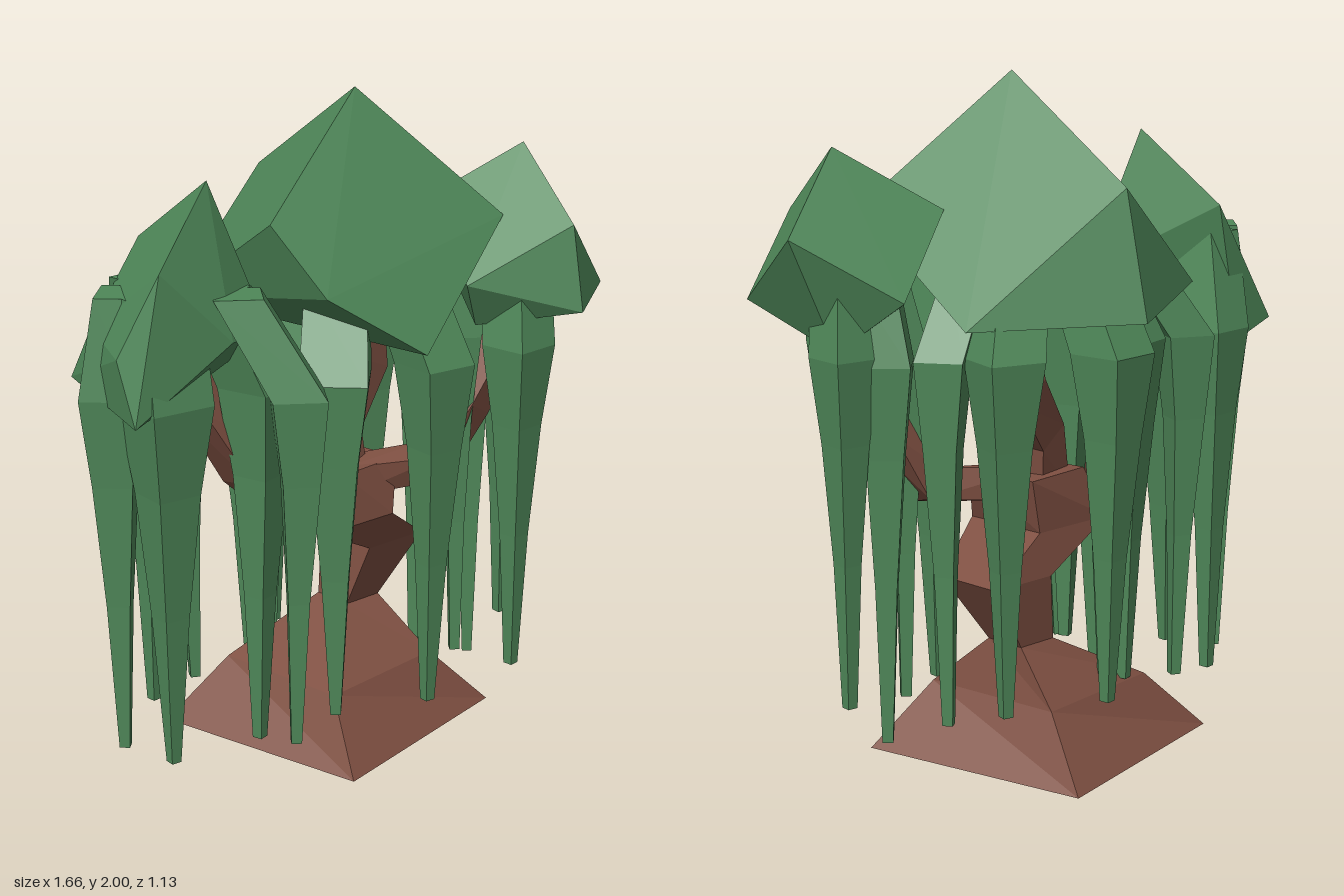
import * as THREE from 'three';
import { ConvexGeometry } from 'three/addons/geometries/ConvexGeometry.js';

const leafMat = new THREE.MeshStandardMaterial({ color: 0x4f8859, flatShading: true, side: THREE.DoubleSide });
const barkMat = new THREE.MeshStandardMaterial({ color: 0x7f5042, flatShading: true, side: THREE.DoubleSide });
const UP = new THREE.Vector3(0, 1, 0);
const Z = new THREE.Vector3(0, 0, 1);
const vec = p => new THREE.Vector3(...p);

// Four-sided loft through sections [x, y, z, radius, turn]; rings lie flat or follow the path
function loft(sections, flat) {
  const pos = [], index = [], n = 4;
  const pts = sections.map(s => vec(s.slice(0, 3)));
  sections.forEach(([, , , radius, turn = 0], k) => {
    const t = flat ? UP : pts[Math.min(k + 1, pts.length - 1)].clone().sub(pts[Math.max(k - 1, 0)]).normalize();
    const u = new THREE.Vector3().crossVectors(t, Z).normalize();
    const v = new THREE.Vector3().crossVectors(u, t);
    for (let i = 0; i < n; i++) {
      const a = (i + 0.5) / n * Math.PI * 2 + turn;
      const p = pts[k].clone().addScaledVector(u, Math.cos(a) * radius).addScaledVector(v, Math.sin(a) * radius);
      pos.push(p.x, p.y, p.z);
    }
  });
  for (let k = 0; k < sections.length - 1; k++) {
    for (let i = 0; i < n; i++) {
      const a = k * n + i, b = k * n + (i + 1) % n;
      index.push(a, a + n, b + n, a, b + n, b);
    }
  }
  const e = (sections.length - 1) * n;
  index.push(0, 1, 2, 0, 2, 3, e, e + 2, e + 1, e, e + 3, e + 2);
  const indexed = new THREE.BufferGeometry();
  indexed.setAttribute('position', new THREE.Float32BufferAttribute(pos, 3));
  indexed.setIndex(index);
  const geo = indexed.toNonIndexed();
  geo.computeVertexNormals();
  return geo;
}

function add(group, name, geo, mat) {
  const mesh = new THREE.Mesh(geo, mat);
  mesh.name = name;
  group.add(mesh);
}

// Hanging strand: slim tip, swelling upward, then leaning into its canopy
function strand([x, y, z, r], centre, turn) {
  const top = 1.5;
  const rings = [[0, 0.022, 0], [0.33, r * 0.4, 0.02], [0.6, r * 0.68, 0.04], [0.79, r, 0.03], [1, r * 0.9, -0.38]];
  return loft(rings.map(([h, radius, out]) => [
    x + (x - centre.x) * out, y + (top - y) * h, z + (z - centre.z) * out, radius, turn
  ]), true);
}

// Canopy: a tilted block spanned by an apex and its three neighbours, with strands below
function canopy(name, apex, neighbours, extras, tips) {
  const group = new THREE.Group();
  group.name = name;
  const a = vec(apex);
  const [b, c, d] = neighbours.map(vec);
  const opposite = (p, q) => p.clone().add(q).sub(a);
  const corners = [a, b, c, d, opposite(b, c), opposite(b, d), opposite(c, d)];
  const centre = new THREE.Vector3();
  corners.forEach(p => centre.addScaledVector(p, 1 / corners.length));
  add(group, 'foliageBlock', new ConvexGeometry([...corners, ...extras.map(vec)]), leafMat);
  tips.forEach((tip, i) => add(group, 'hangingStrand' + (i + 1), strand(tip, centre, i * 0.7 + 0.3), leafMat));
  return group;
}

export function createModel() {
  const tree = new THREE.Group();
  tree.name = 'willowTree';

  // Zigzag trunk on a broad square foot
  add(tree, 'trunk', loft([
    [0.075, 0, -0.12, 0.516], [0.08, 0.19, -0.12, 0.32, 0.1], [0.21, 0.35, -0.14, 0.095, 0.2],
    [0.28, 0.55, -0.1, 0.16, 0.2], [0.05, 0.68, -0.1, 0.2, 0.2], [0.12, 0.84, -0.1, 0.17, 0.1]
  ], true), barkMat);

  // Branches rising into each canopy
  add(tree, 'rightBranch', loft([
    [0.1, 0.74, -0.1, 0.1], [-0.17, 0.79, -0.08, 0.09], [-0.34, 0.94, -0.1, 0.09],
    [-0.47, 1.15, -0.16, 0.07], [-0.52, 1.4, -0.22, 0.05]
  ], false), barkMat);
  add(tree, 'leftBranch', loft([
    [0.08, 0.79, -0.08, 0.07], [0.34, 0.81, 0.1, 0.07], [0.43, 0.99, 0.16, 0.075],
    [0.54, 1.2, 0.22, 0.07], [0.55, 1.45, 0.25, 0.05]
  ], false), barkMat);
  add(tree, 'middleBranch', loft([
    [0.08, 0.76, -0.1, 0.11], [0.12, 0.95, -0.13, 0.09], [0.27, 1.11, -0.15, 0.1], [0.3, 1.4, -0.15, 0.06]
  ], false), barkMat);

  // Canopies; each strand is given by its tip and greatest radius
  tree.add(canopy('middleCanopy', [0.09, 2, -0.03],
    [[-0.38, 1.68, 0.02], [0.39, 1.61, 0.3], [0.23, 1.7, -0.5]],
    [[0.23, 1.33, -0.57], [-0.33, 1.48, 0.18]], [
      [0.09, 0.13, 0.25, 0.12], [-0.21, 0.16, 0.12, 0.14], [0.18, 0.2, -0.42, 0.12],
      [0.05, 0.2, -0.33, 0.13], [-0.03, 0.2, -0.35, 0.11], [-0.25, 0.16, -0.4, 0.1],
      [-0.05, 0.29, -0.13, 0.12], [0.41, 0.18, -0.22, 0.12], [0.44, 0.13, -0.04, 0.1]
    ]));
  tree.add(canopy('rightCanopy', [-0.46, 1.8, -0.14],
    [[-0.75, 1.6, -0.07], [-0.4, 1.59, -0.45], [-0.55, 1.38, -0.16]],
    [[-0.34, 1.36, -0.02], [-0.66, 1.22, -0.49], [-0.55, 1.38, 0.02], [-0.82, 1.36, -0.17]], [
      [-0.67, 0.11, -0.13, 0.14], [-0.69, 0.12, -0.3, 0.12], [-0.42, 0.14, -0.42, 0.11],
      [-0.42, 0.15, 0.13, 0.11], [-0.39, 0.11, -0.03, 0.12]
    ]));
  tree.add(canopy('leftCanopy', [0.56, 1.8, 0.26],
    [[0.82, 1.57, 0.21], [0.43, 1.6, 0.52], [0.36, 1.62, 0.02]],
    [[0.31, 1.28, 0.26], [0.43, 1.34, 0.56], [0.67, 1.24, 0.17]], [
      [0.66, 0.21, 0.15, 0.1], [0.56, 0.09, 0.09, 0.11], [0.38, 0.18, 0.37, 0.11], [0.39, 0.17, 0.15, 0.09]
    ]));
  return tree;
}
